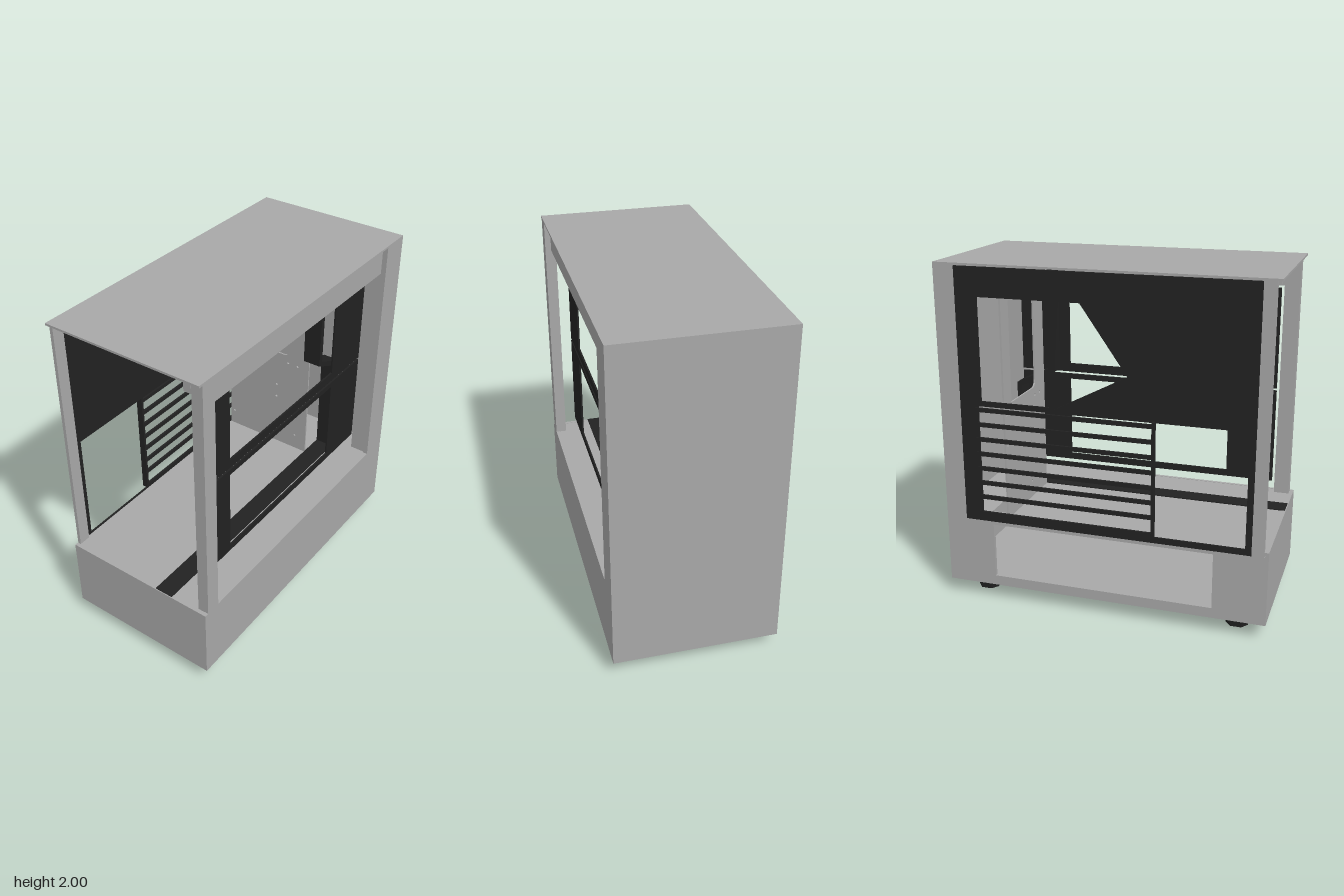
import * as THREE from 'three';

const shell = new THREE.MeshStandardMaterial({ color: 0xa8a8a8 });
shell.name = 'grey shell';
const black = new THREE.MeshStandardMaterial({ color: 0x222222 });
black.name = 'black trim';

// Rectangle as a list of corners
const rect = (a0, b0, a1, b1) => [[a0, b0], [a1, b0], [a1, b1], [a0, b1]];
const circle = (a, b, r) => Array.from({ length: 8 }, (_, i) =>
  [a + r * Math.cos(i * Math.PI / 4), b + r * Math.sin(i * Math.PI / 4)]);

// Rounded rectangle, three points per corner
function roundRect(a0, b0, a1, b1, r) {
  const pts = [];
  [[a1 - r, b1 - r], [a0 + r, b1 - r], [a0 + r, b0 + r], [a1 - r, b0 + r]].forEach(([a, b], q) => {
    for (let i = 0; i < 4; i++) {
      const t = (q + i / 3) * Math.PI / 2;
      pts.push([a + r * Math.cos(t), b + r * Math.sin(t)]);
    }
  });
  return pts;
}

function plate(outline, holes, depth) {
  const v = (p) => p.map(([a, b]) => new THREE.Vector2(a, b));
  const shape = new THREE.Shape(v(outline));
  holes.forEach((h) => shape.holes.push(new THREE.Path(v(h))));
  return new THREE.ExtrudeGeometry(shape, { depth, bevelEnabled: false });
}

export function createModel() {
  const model = new THREE.Group();
  model.name = 'computerCase';

  const add = (name, geometry, material) => {
    const mesh = new THREE.Mesh(geometry, material);
    mesh.name = name;
    model.add(mesh);
    return mesh;
  };
  // Box from its minimum and maximum corners
  const box = (name, material, x0, x1, y0, y1, z0, z1) => {
    const g = new THREE.BoxGeometry(x1 - x0, y1 - y0, z1 - z0);
    g.translate((x0 + x1) / 2, (y0 + y1) / 2, (z0 + z1) / 2);
    return add(name, g, material);
  };
  // Upright side plate drawn in (z, y), outer face at x
  const sidePlate = (name, material, x, t, outline, holes) =>
    add(name, plate(outline, holes, t).rotateY(-Math.PI / 2).translate(x, 0, 0), material);

  // Outer shell
  box('topPlate', shell, -0.46, 0.485, 1.988, 2, -0.955, 0.955);
  box('backPanel', shell, -0.46, 0.485, 0.09, 1.988, -0.955, -0.935);
  box('bottomPlate', shell, -0.46, 0.485, 0.09, 0.11, -0.935, 0.935);
  box('lowerFront', shell, -0.46, 0.485, 0.09, 0.53, 0.935, 0.955);
  box('lowerLeftSide', shell, 0.465, 0.485, 0.11, 0.53, -0.935, 0.935);
  sidePlate('lowerRightSide', shell, -0.44, 0.02,
    rect(-0.935, 0.11, 0.935, 0.5), [rect(-0.66, 0.15, 0.65, 0.48)]);

  // Deck over the lower chamber, with cable openings
  add('deck', plate(rect(-0.455, -0.935, 0.465, 0.935),
    [rect(-0.38, 0.6, -0.2, 0.7), rect(-0.14, 0.6, 0.04, 0.7)], 0.02)
    .rotateX(-Math.PI / 2).rotateZ(0).translate(0, 0.508, 0), shell);

  // Corner pillars
  box('frontLeftPillar', shell, 0.42, 0.485, 0.528, 1.988, 0.84, 0.93);
  box('frontRightPillar', shell, -0.46, -0.44, 0.5, 1.988, 0.86, 0.93);
  box('backLeftPillar', shell, 0.455, 0.485, 0.53, 1.988, -0.935, -0.78);
  box('backLeftFlange', shell, 0.36, 0.455, 0.528, 1.988, -0.82, -0.79);
  box('backRightPillar', shell, -0.46, -0.44, 0.5, 1.988, -0.935, -0.83);

  // Rail under the top edge, with a dark slot above it
  box('topRailFace', shell, 0.43, 0.45, 1.815, 1.97, -0.79, 0.84);
  box('topRailLip', shell, 0.3, 0.345, 1.84, 1.988, -0.79, 0.84);
  box('topRailWeb', shell, 0.345, 0.43, 1.95, 1.97, -0.79, 0.84);
  box('topRailSlot', black, 0.345, 0.4, 1.97, 1.985, -0.75, 0.84);

  // Two framed panels set inside the left side
  [['upperLeftFrame', 1.217, 1.815, 1.27, 1.77], ['lowerLeftFrame', 0.63, 1.203, 0.67, 1.17]]
    .forEach(([name, y0, y1, w0, w1]) => sidePlate(name, black, 0.355, 0.01,
      rect(-0.79, y0, 0.835, y1), [rect(-0.47, w0, 0.55, w1)]));

  // Right side panel with angular cut-outs
  sidePlate('rightPanel', black, -0.452, 0.01, rect(-0.83, 0.5, 0.86, 1.985), [
    [[0.16, 1.44], [-0.105, 1.82], [-0.23, 1.82], [-0.275, 1.215]],
    rect(-0.7, 1.23, -0.29, 1.82),
    rect(-0.72, 0.535, 0.825, 1.2),
  ]);

  // Slatted grille on the right side
  box('grillePost', black, -0.49, -0.452, 0.53, 1.21, 0.302, 0.316);
  for (let i = 0; i < 8; i++) {
    const y = 0.547 + (i > 0 ? 0.103 + (i - 1) * 0.088 : 0);
    box('grilleSlat', black, -0.465, -0.452, y - 0.012, y + 0.012, -0.74, 0.31);
  }

  // Board tray facing the front
  const screws = [[-0.42, 0.63], [-0.42, 0.97], [-0.42, 1.15], [-0.38, 1.82], [-0.09, 0.63], [-0.09, 0.88],
    [-0.09, 0.97], [-0.01, 1.155], [0.06, 0.63], [0.06, 1.155], [0.06, 1.82]];
  add('boardTray', plate(rect(-0.45, 0.528, 0.14, 1.988), [
    roundRect(-0.38, 1.205, 0, 1.79, 0.04),
    rect(-0.44, 1.87, 0, 1.925),
    ...screws.map(([x, y]) => circle(x, y, 0.008)),
  ], 0.01).translate(0, 0, -0.575), shell);

  // Cable cover: runs along the deck, then up beside the tray with a jog
  box('cableCoverDeck', black, 0.14, 0.25, 0.526, 0.534, -0.72, 0.95);
  sidePlate('cableCoverUpright', black, 0.25, 0.11, [
    [-0.745, 0.53], [-0.715, 0.53], [-0.715, 1.16], [-0.5, 1.26], [-0.5, 1.92],
    [-0.53, 1.92], [-0.53, 1.28], [-0.745, 1.18],
  ], []);

  // Tapered feet
  for (const x of [-0.32, 0.357]) {
    for (const z of [-0.775, 0.772]) {
      const foot = new THREE.CylinderGeometry(0.087, 0.064, 0.09, 6).toNonIndexed();
      foot.computeVertexNormals();
      foot.scale(0.74, 1, 1);
      foot.computeVertexNormals();
      foot.translate(x, 0.045, z);
      add('foot', foot, black);
    }
  }
  return model;
}
